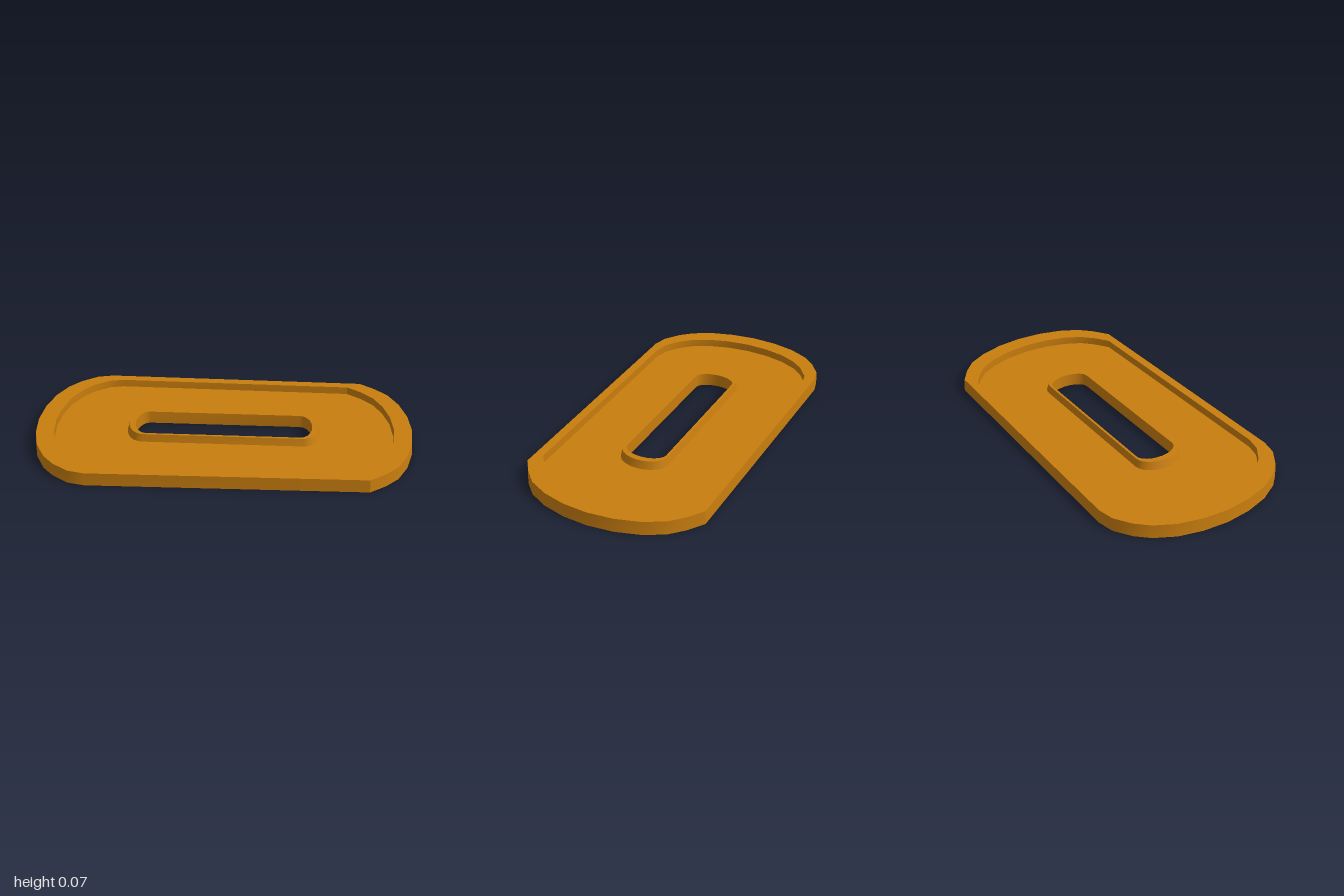
import * as THREE from 'three';
import { toCreasedNormals } from 'three/addons/utils/BufferGeometryUtils.js';

const TOP = 0.07, FLOOR = 0.028;

// Half outline of the plate, from the +x tip round to the -x tip
const HALF = [
  [1, 0], [0.988, 0.135], [0.953, 0.26], [0.9, 0.362], [0.832, 0.43], [0.75, 0.488],
  [-0.67, 0.507], [-0.755, 0.488], [-0.84, 0.43], [-0.9, 0.364], [-0.955, 0.26], [-0.988, 0.135], [-1, 0],
];

// Close a half outline by mirroring it in z
const mirrorZ = (half) => [...half, ...half.slice(1, -1).reverse().map(([x, z]) => [x, -z])];

// A ring is a closed loop of points at one height
const plateRing = (scale, y) => mirrorZ(HALF).map(([x, z]) => [x * scale, y, z * scale]);

// Slot with half-elliptical ends, with as many points as the plate outline
function slotRing(halfLength, halfWidth, endRadius, y) {
  const half = HALF.map((_, i) => {
    const t = (i < 6 ? i / 5 : 1 + (i - 6) / 6) * Math.PI / 2;
    const side = i < 6 ? 1 : -1;
    return [side * (halfLength - endRadius) + Math.cos(t) * endRadius, Math.sin(t) * halfWidth];
  });
  return mirrorZ(half).map(([x, z]) => [x, y, z]);
}

// Skin a chain of rings with quads
function loft(rings) {
  const n = rings[0].length, index = [];
  for (let r = 0; r < rings.length - 1; r++) {
    for (let i = 0; i < n; i++) {
      const a = r * n + i, b = r * n + (i + 1) % n;
      index.push(a, a + n, b, b, a + n, b + n);
    }
  }
  const geometry = new THREE.BufferGeometry();
  geometry.setAttribute('position', new THREE.Float32BufferAttribute(rings.flat(2), 3));
  geometry.setIndex(index);
  return toCreasedNormals(geometry, 0.6);
}

export function createModel() {
  const group = new THREE.Group();
  group.name = 'slottedTray';
  const material = new THREE.MeshStandardMaterial({ color: 0xc87d0e });

  const outerBottom = plateRing(1, 0);
  const recessFloor = plateRing(0.9, FLOOR);
  const collarBase = slotRing(0.515, 0.13, 0.09, FLOOR);
  const holeBottom = slotRing(0.47, 0.11, 0.065, 0);

  const parts = {
    // Slightly drafted outside, flat lip, upright inside
    outerRim: [outerBottom, plateRing(0.995, TOP), plateRing(0.9, TOP), recessFloor],
    trayFloor: [recessFloor, collarBase],
    // Raised lip round the slot, running down through the plate
    slotCollar: [collarBase, slotRing(0.503, 0.123, 0.085, TOP), slotRing(0.47, 0.11, 0.065, TOP), holeBottom],
    underside: [holeBottom, outerBottom],
  };
  for (const [name, rings] of Object.entries(parts)) {
    const mesh = new THREE.Mesh(loft(rings), material);
    mesh.name = name;
    group.add(mesh);
  }
  return group;
}
